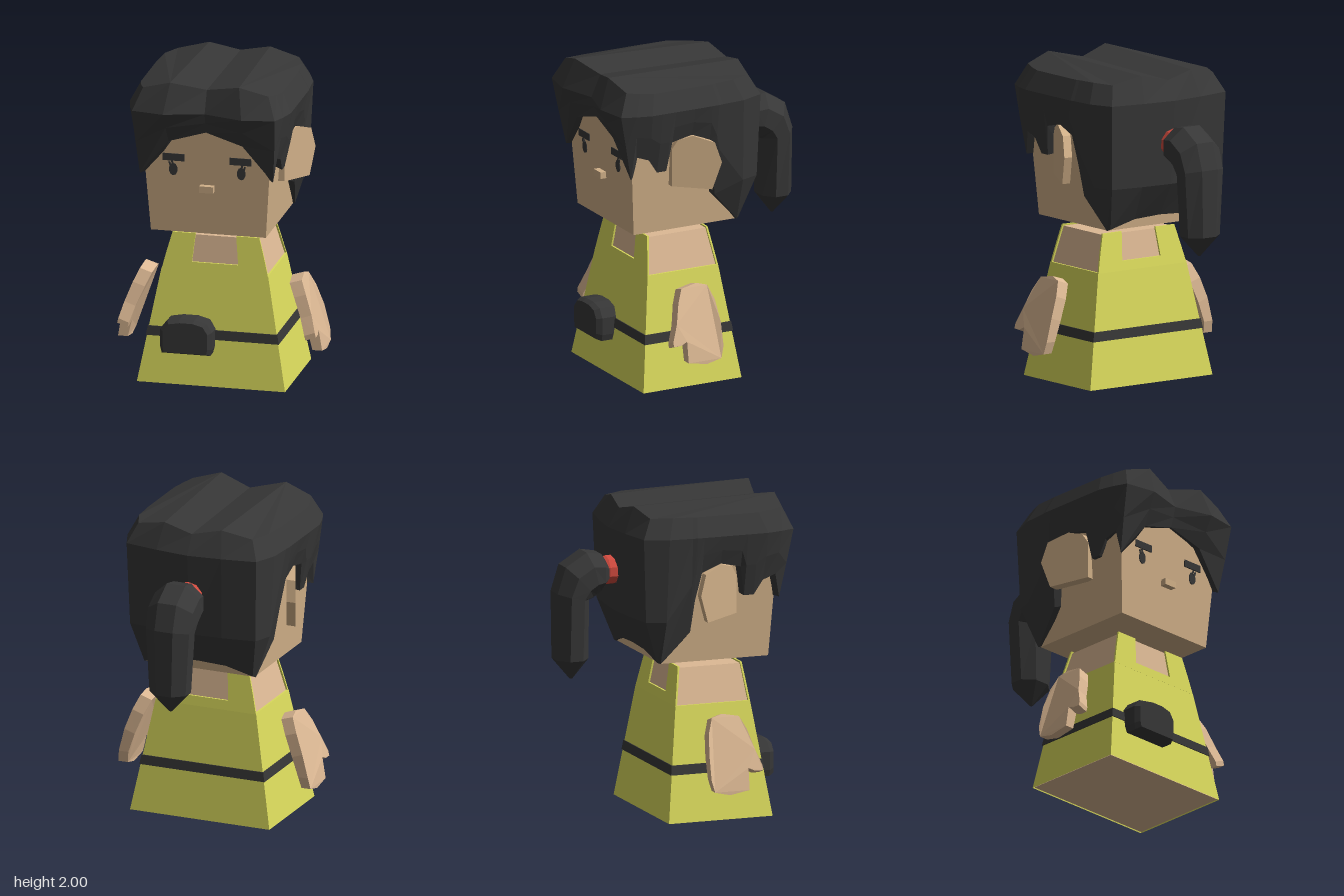
import * as THREE from 'three';

const mat = (name, color, side = THREE.FrontSide) => {
  const m = new THREE.MeshStandardMaterial({ color, side, flatShading: true });
  m.name = name;
  return m;
};
const V = (x, y, z) => new THREE.Vector3(x, y, z);
const lerp = THREE.MathUtils.lerp;

export function createModel() {
  const charcoal = mat('charcoal', 0x373737, THREE.DoubleSide);
  const faceSkin = mat('face skin', 0xd2b189);
  const bodySkin = mat('body skin', 0xdeba95);
  const yellow = mat('dress yellow', 0xdada5c, THREE.DoubleSide);
  const red = mat('hair tie red', 0xd04a3e);

  const model = new THREE.Group();
  const head = new THREE.Group();
  const body = new THREE.Group();
  head.name = 'head';
  body.name = 'body';
  head.position.x = -0.02;
  body.position.x = -0.005;
  model.add(head, body);

  const add = (parent, name, geo, material) => {
    const m = new THREE.Mesh(geo, material);
    m.name = name;
    parent.add(m);
    return m;
  };
  const fromPoints = (pts) => {
    const g = new THREE.BufferGeometry().setFromPoints(pts);
    g.computeVertexNormals();
    return g;
  };
  // Triangles joining closed rings of equal length, with optional end caps
  const loft = (rings, capStart = true, capEnd = true) => {
    const t = [], n = rings[0].length;
    for (let i = 0; i + 1 < rings.length; i++) {
      for (let j = 0; j < n; j++) {
        const k = (j + 1) % n, a = rings[i], b = rings[i + 1];
        t.push(a[j], a[k], b[k], a[j], b[k], b[j]);
      }
    }
    const first = rings[0], last = rings[rings.length - 1];
    for (let j = 1; j + 1 < n; j++) {
      if (capStart) t.push(first[0], first[j + 1], first[j]);
      if (capEnd) t.push(last[0], last[j], last[j + 1]);
    }
    return t;
  };
  const rect = (y, hx, z0, z1) => [V(-hx, y, z1), V(hx, y, z1), V(hx, y, z0), V(-hx, y, z0)];
  // Extruded outline (a, b) with thickness t from 0 to 1, placed by a rule
  const slab = (outline, place, flip) => {
    const shape = new THREE.Shape(outline.map(([a, b]) => new THREE.Vector2(a, b)));
    const p = new THREE.ExtrudeGeometry(shape, { depth: 1, bevelEnabled: false }).attributes.position;
    const pts = [];
    for (let i = 0; i < p.count; i++) pts.push(place(p.getX(i), p.getY(i), p.getZ(i)));
    if (flip) for (let i = 0; i < pts.length; i += 3) [pts[i + 1], pts[i + 2]] = [pts[i + 2], pts[i + 1]];
    return fromPoints(pts);
  };

  // Dress, with straps at front and back over the bare upper torso
  const dressRing = (y, o = 0) => {
    const k = y / 0.72;
    return rect(y, lerp(0.473, 0.34, k) + o, lerp(-0.14, -0.045, k) - o, lerp(0.55, 0.45, k) + o);
  };
  add(body, 'dress', fromPoints(loft([dressRing(0), dressRing(0.715)], false, true)), yellow);
  add(body, 'underside', fromPoints(loft([dressRing(0.003, -0.008), dressRing(0.012, -0.012)])), bodySkin);
  add(body, 'upperTorso', fromPoints(loft([rect(0.71, 0.33, -0.034, 0.438), rect(0.94, 0.268, 0.004, 0.41)])), bodySkin);
  const bib = [[-0.34, 0.71], [0.34, 0.71], [0.31, 0.83], [0.277, 0.95], [0.13, 0.95], [0.148, 0.77],
    [-0.148, 0.77], [-0.13, 0.95], [-0.277, 0.95], [-0.31, 0.83]];
  const up = (y) => (y - 0.71) / 0.24;
  add(body, 'frontBib', slab(bib, (x, y, t) => V(x, y, lerp(0.452, 0.42, up(y)) - 0.012 * (1 - t))), yellow);
  add(body, 'backBib', slab(bib, (x, y, t) => V(x, y, lerp(-0.047, -0.006, up(y)) + 0.012 * t)), yellow);

  // Belt and pouch
  add(body, 'belt', fromPoints(loft([dressRing(0.295, 0.006), dressRing(0.355, 0.006)])), charcoal);
  const pouch = [[-0.155, -0.11], [0.155, -0.11], [0.165, -0.07], [0.165, 0.04], [0.13, 0.095],
    [0.055, 0.115], [-0.04, 0.115], [-0.12, 0.1], [-0.165, 0.045], [-0.165, -0.07]];
  const pouchRing = (z, s) => pouch.map(([x, y]) => V(x * s - 0.148, y * s + 0.325, z));
  add(body, 'pouch', fromPoints(loft([pouchRing(0.47, 1), pouchRing(0.595, 1), pouchRing(0.628, 0.87)])), charcoal);

  // Arms: flat mitten shapes that swing outwards towards the hand
  const arm = [[0.31, 0.66], [0.2, 0.68], [0.13, 0.66], [0.095, 0.57], [0.08, 0.44], [0.08, 0.29], [0.1, 0.215],
    [0.2, 0.192], [0.33, 0.215], [0.33, 0.35], [0.375, 0.33], [0.425, 0.33], [0.425, 0.36], [0.385, 0.46], [0.35, 0.58]];
  const armOuter = (y) => 0.652 - 0.145 * Math.pow(Math.max(0, (y - 0.2) / 0.48), 1.6);
  for (const s of [1, -1]) {
    add(model, s > 0 ? 'leftArm' : 'rightArm', slab(arm, (z, y, t) =>
      V(s * (armOuter(y) - (1 - t) * lerp(0.055, 0.078, y / 0.68)), y - (1 - t) * 0.025 * (y > 0.3 ? 1 : 0), z), s > 0), bodySkin);
  }

  // Face block
  add(head, 'face', fromPoints(loft([rect(1.0, 0.367, -0.16, 0.555), rect(1.75, 0.42, -0.24, 0.605)])), faceSkin);
  const faceZ = (y) => 0.555 + 0.0667 * (y - 1);
  add(head, 'nose', new THREE.BoxGeometry(0.088, 0.042, 0.05).translate(0, 1.303, 0.59), faceSkin);

  // Eyes, lashes, brows and ears
  const ear = [[0.32, 1.3], [0.32, 1.54], [0.285, 1.6], [0.2, 1.627], [0.075, 1.58], [0.035, 1.45], [0.09, 1.275]];
  for (const s of [1, -1]) {
    const side = s > 0 ? 'left' : 'right';
    const eye = new THREE.CylinderGeometry(1, 1, 0.008, 10).rotateX(Math.PI / 2).scale(0.028, 0.041, 1);
    add(head, side + 'Eye', eye, charcoal).position.set(s * 0.217, 1.415, faceZ(1.415));
    for (const [dx, dy] of [[0.004, 0.043], [0.021, 0.036]]) {
      const lash = add(head, side + 'Lash', new THREE.BoxGeometry(0.012, 0.026, 0.008), charcoal);
      lash.position.set(s * (0.217 + dx), 1.415 + dy, faceZ(1.455));
      lash.rotation.z = -s * 0.35;
    }
    add(head, side + 'Brow', new THREE.BoxGeometry(0.138, 0.046, 0.009), charcoal)
      .position.set(s * 0.213, 1.495, faceZ(1.495) + 0.002);
    add(head, side + 'Ear', slab(ear, (z, y, t) =>
      V(s * (0.43 + 0.45 * (0.32 - z) - 0.06 * (1 - t)), y, z), s > 0), faceSkin);
  }

  // Hair columns from the fringe round to the back: [wide x, wide z, hem x, hem y, hem z, bend]
  const half = [
    [0, 0.655, 0, 1.68, 0.62], [0.25, 0.725, 0.235, 1.61, 0.63], [0.455, 0.69, 0.425, 1.38, 0.605],
    [0.49, 0.6, 0.44, 1.53, 0.575], [0.515, 0.5, 0.445, 1.5, 0.49], [0.515, 0.43, 0.44, 1.41, 0.43],
    [0.515, 0.365, 0.44, 1.41, 0.365], [0.515, 0.335, 0.465, 1.6, 0.335], [0.515, 0.2, 0.47, 1.63, 0.2],
    [0.515, 0.075, 0.47, 1.58, 0.075], [0.515, 0.03, 0.45, 1.4, 0.035], [0.51, 0, 0.42, 1.2, 0.015],
    [0.5, -0.15, 0.378, 1.0, -0.165, [0.47, -0.16]], [0.44, -0.3, 0.365, 1.01, -0.185, [0.425, -0.28]],
    [0.22, -0.34, 0.19, 1.06, -0.2, [0.21, -0.31]], [0, -0.365, 0, 1.07, -0.205, [0, -0.325]]];
  const crownY = (x) => (x < 0.22 ? lerp(1.95, 2, x / 0.22) : lerp(2, 1.93, (x - 0.22) / 0.235));
  const levels = [
    ([, , x, y, z]) => V(x * 0.8, y + 0.02, lerp(z, 0.2, 0.2)),
    ([, , x, y, z]) => V(x, y, z),
    ([wx, wz, x, y, z, b]) => (b ? V(b[0], 1.28, b[1]) : V(lerp(x, wx, 0.6), lerp(y, 1.81, 0.5), lerp(z, wz, 0.5))),
    ([wx, wz]) => V(wx, 1.81, wz),
    ([wx, wz]) => V(wx * 0.88, crownY(wx * 0.88) - (wz < -0.2 ? 0.02 : 0), lerp(wz, 0.18, 0.13)),
  ];
  const rings = levels.map((f) => {
    const r = half.map(f);
    return r.concat(r.slice(1, -1).reverse().map((p) => V(-p.x, p.y, p.z)));
  });
  const hair = loft(rings, false, false);
  const crown = rings[4];
  const capTris = [[0, 1, 14], [0, 14, 15]];
  for (let i = 2; i < 14; i++) capTris.push([1, i, i + 1]);
  for (const [a, b, c] of capTris) {
    hair.push(crown[a], crown[b], crown[c]);
    const m = (i) => crown[(30 - i) % 30];
    hair.push(m(a), m(c), m(b));
  }
  add(head, 'hair', fromPoints(hair), charcoal);

  // Hair tie
  const tie = [[0, -0.06], [0.075, -0.06], [0.092, -0.025], [0.092, 0.025], [0.075, 0.06], [0, 0.06]];
  add(head, 'hairTie', new THREE.LatheGeometry(tie.map(([r, y]) => new THREE.Vector2(r, y)), 10)
    .rotateX(Math.PI / 2).translate(0, 1.543, -0.36), red);

  // Ponytail sections along a bent path: [y, z, pitch, half width, half depth]
  const tail = [[1.535, -0.395, 0, 0.1, 0.07], [1.54, -0.435, 0, 0.145, 0.12], [1.54, -0.5, 0.25, 0.155, 0.142],
    [1.49, -0.58, 0.75, 0.155, 0.14], [1.4, -0.622, 1.35, 0.15, 0.11], [1.0, -0.622, 1.57, 0.125, 0.105],
    [0.87, -0.615, 1.57, 0.008, 0.008]];
  const tailRings = tail.map(([y, z, a, w, d]) => Array.from({ length: 8 }, (_, i) => {
    const t = ((i + 0.5) / 8) * Math.PI * 2;
    const n = Math.cos(t) * d * 1.06;
    return V(Math.sin(t) * w * 1.06, y + n * Math.cos(a), z - n * Math.sin(a));
  }));
  add(head, 'ponytail', fromPoints(loft(tailRings)), charcoal);

  return model;
}
